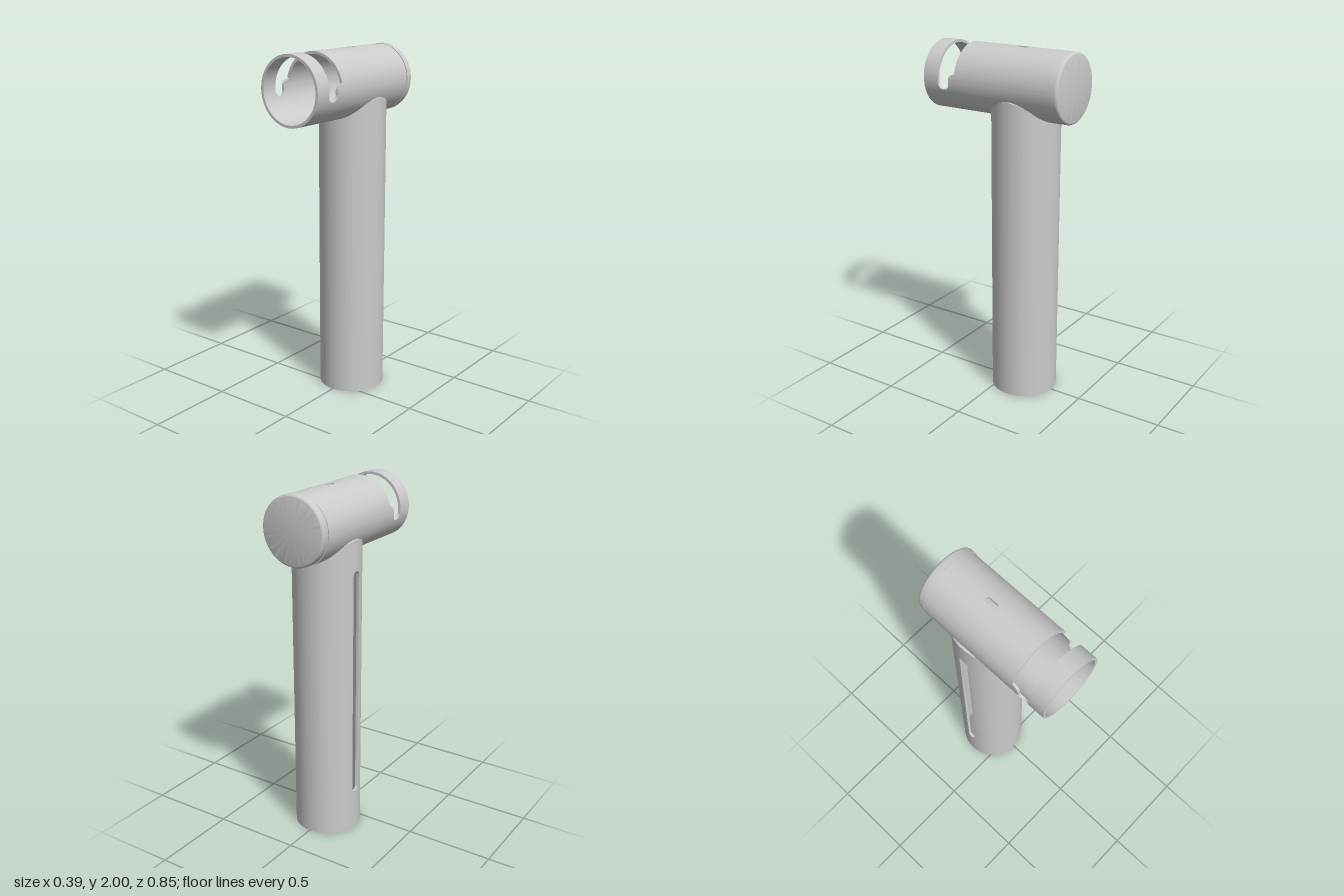
import * as THREE from 'three';
import { mergeGeometries, toCreasedNormals } from 'three/addons/utils/BufferGeometryUtils.js';

const R = 0.19, INNER = 0.175;   // outer and inner radius of both tubes
const AXIS_Y = 1.81;             // height of the cross tube's axis

const mat = new THREE.MeshStandardMaterial({ color: 0xcccccc });

// Curved wall panel around the z axis, angle a measured from +y towards +x.
// lo(a) and hi(a) give its ends; cap0 / cap1 are [lo, hi] spans closed at a0 / a1.
function panel(a0, a1, lo, hi, cap0, cap1) {
  const pos = [];
  const pt = (a, rad, t) => [Math.sin(a) * rad, Math.cos(a) * rad, t];
  const section = (a, l, h) => [pt(a, R, l), pt(a, R, h), pt(a, INNER, h), pt(a, INNER, l)];
  const quad = (a, b, c, d) => pos.push(...a, ...b, ...c, ...a, ...c, ...d);
  const n = Math.max(14, Math.ceil((a1 - a0) / 0.02));
  let prev = section(a0, lo(a0), hi(a0));
  for (let i = 1; i <= n; i++) {
    const a = a0 + (a1 - a0) * i / n;
    const next = section(a, lo(a), hi(a));
    for (let k = 0; k < 4; k++) {
      const m = (k + 1) % 4;
      quad(prev[k], prev[m], next[m], next[k]);
    }
    prev = next;
  }
  if (cap0) quad(...section(a0, ...cap0).reverse());
  if (cap1) quad(...section(a1, ...cap1));
  const g = new THREE.BufferGeometry();
  g.setAttribute('position', new THREE.Float32BufferAttribute(pos, 3));
  return g;
}

// Panels from angle a0 to a1 with a rounded slot centred on a = 0
function slottedPanels(a0, a1, lo, hi, slot) {
  const { half, from, to, corner } = slot;
  const w = half / R;
  const inset = a => {
    const d = Math.max(0, Math.abs(a) * R - (half - corner));
    return corner - Math.sqrt(Math.max(0, corner * corner - d * d));
  };
  const span = [from + corner, to - corner];
  return [
    panel(-w, w, lo, a => from + inset(a)),
    panel(-w, w, a => to - inset(a), hi),
    panel(w, a1, lo, hi, span, null),
    panel(a0, -w, lo, hi, null, span),
  ];
}

const finish = parts => toCreasedNormals(mergeGeometries(parts), 0.5);

function addMesh(group, name, geometry, x, y, z) {
  const mesh = new THREE.Mesh(geometry, mat);
  mesh.name = name;
  mesh.position.set(x, y, z);
  group.add(mesh);
  return mesh;
}

// Cross tube with a bayonet cut-out over its top and a small window behind it
function crossTubeGeometry() {
  const back = () => -0.38, front = () => 0.425;
  const r = 0.035, mid = 0.295;          // rounded bottom of the narrow slot
  const arc = d => Math.sqrt(Math.max(0, r * r - d * d));
  const bottom = Math.acos((1.79 - r - AXIS_Y) / R);
  const height = a => AXIS_Y + R * Math.cos(a);
  const rearEdge = a => {
    const y = height(a);
    if (y > 1.845) return 0.22;
    if (y > 1.81) return 0.225 + arc(y - 1.81);
    return y > 1.79 ? 0.26 : mid - arc(1.79 - y);
  };
  const frontEdge = a => (height(a) > 1.79 ? 0.33 : mid + arc(1.79 - height(a)));
  return finish([
    ...slottedPanels(-bottom, bottom, back, rearEdge,
      { half: 0.016, from: -0.13, to: -0.06, corner: 0.01 }),
    panel(-bottom, bottom, frontEdge, front),
    panel(bottom, 2 * Math.PI - bottom, back, front),
  ]);
}

// Upright tube with a saddle-cut top and a long slot on one side
function stemGeometry() {
  const saddle = a => 1.62 + 0.115 * Math.cos(a) ** 2;
  const g = finish(slottedPanels(-Math.PI, Math.PI, () => 0, saddle,
    { half: 0.028, from: 0.235, to: 1.565, corner: 0.028 }));
  // turn the tube upright with the slot facing -x
  return g.applyMatrix4(new THREE.Matrix4().makeBasis(
    new THREE.Vector3(0, 0, -1), new THREE.Vector3(-1, 0, 0), new THREE.Vector3(0, 1, 0)));
}

// Closed end cap with a rounded rim and an inner collar
function endCapGeometry() {
  const f = 0.016, profile = [new THREE.Vector2(0, -0.425)];
  for (let i = 0; i <= 6; i++) {
    const t = i / 6 * Math.PI / 2;
    profile.push(new THREE.Vector2(R - f + f * Math.sin(t), -0.425 + f - f * Math.cos(t)));
  }
  for (const [x, y] of [[R, -0.378], [0.153, -0.378], [0.153, -0.35], [0.143, -0.35], [0.143, -0.395], [0, -0.395]])
    profile.push(new THREE.Vector2(x, y));
  return toCreasedNormals(new THREE.LatheGeometry(profile, 96).rotateX(Math.PI / 2), 0.5);
}

export function createModel() {
  const group = new THREE.Group();
  group.name = 'slottedTubeHandle';
  addMesh(group, 'crossTube', crossTubeGeometry(), -0.003, AXIS_Y, 0);
  addMesh(group, 'endCap', endCapGeometry(), 0.002, AXIS_Y + 0.002, 0);
  addMesh(group, 'stem', stemGeometry(), -0.004, 0, -0.122);
  return group;
}
